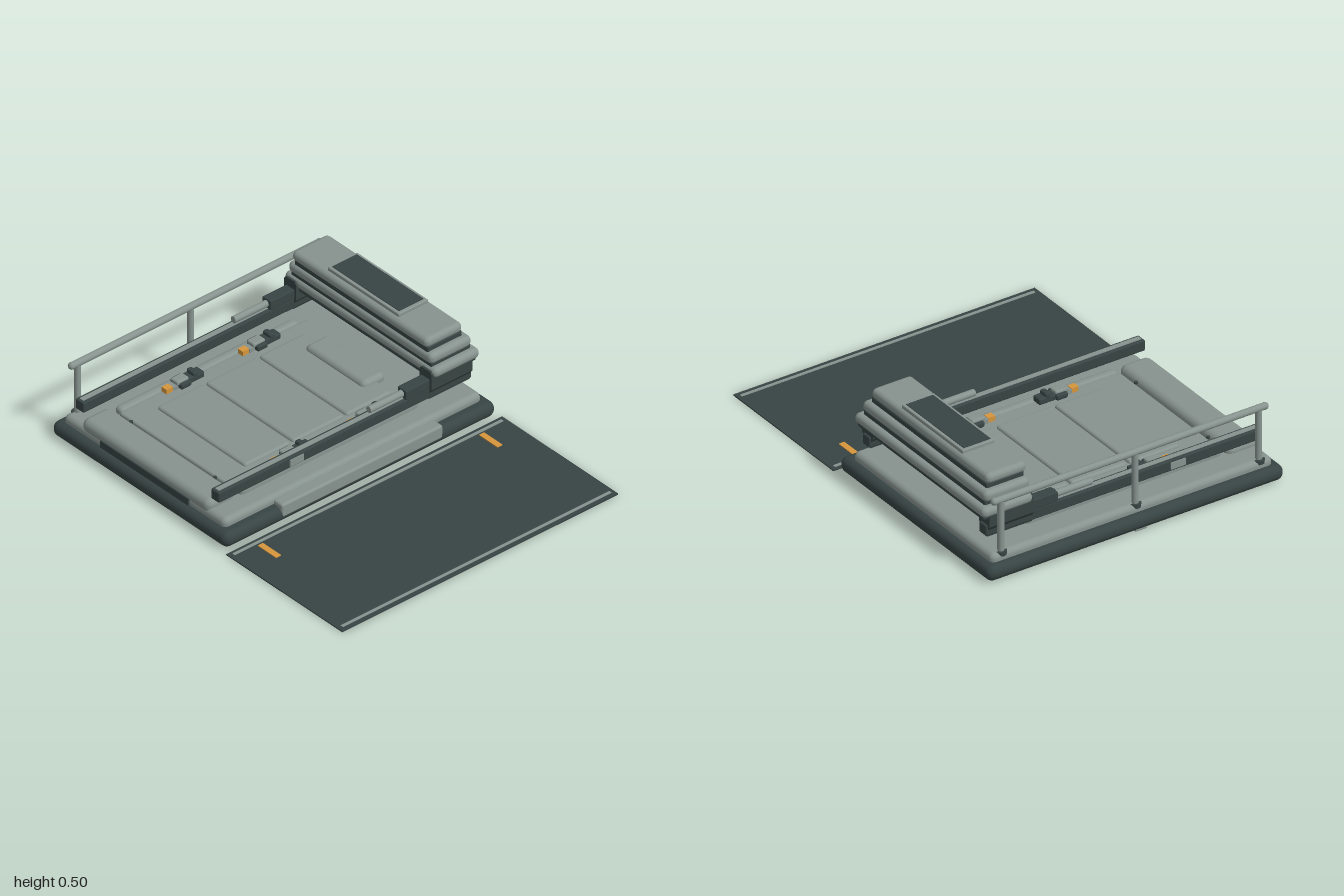
import * as THREE from 'three';
import { RoundedBoxGeometry } from 'three/addons/geometries/RoundedBoxGeometry.js';

const mat = (name, color) => {
  const m = new THREE.MeshStandardMaterial({ color });
  m.name = name;
  return m;
};

export function createModel() {
  const light = mat('light grey', 0x87938f);
  const dark = mat('dark slate', 0x374443);
  const orange = mat('amber', 0xd6963c);
  const root = new THREE.Group();
  root.name = 'slidingGantryBed';

  // Box given by its extents; r > 0 rounds the edges
  const block = (name, m, [x0, x1], [y0, y1], [z0, z1], r = 0, parent = root) => {
    const w = x1 - x0, h = y1 - y0, d = z1 - z0;
    const geo = r ? new RoundedBoxGeometry(w, h, d, 4, r) : new THREE.BoxGeometry(w, h, d);
    const mesh = new THREE.Mesh(geo, m);
    mesh.position.set((x0 + x1) / 2, (y0 + y1) / 2, (z0 + z1) / 2);
    mesh.name = name;
    parent.add(mesh);
    return mesh;
  };
  const cylinder = (name, m, r, h, x, y, z, sides = 20) => {
    const mesh = new THREE.Mesh(new THREE.CylinderGeometry(r, r, h, sides), m);
    mesh.position.set(x, y, z);
    mesh.name = name;
    root.add(mesh);
    return mesh;
  };

  // Base and deck
  block('base', dark, [-1, 0.195], [0.006, 0.084], [-0.8, 0.8], 0.037);
  block('deck', light, [-0.96, 0.14], [0.06, 0.124], [-0.76, 0.76], 0.028);
  block('sideStep', light, [0.13, 0.197], [0.035, 0.106], [-0.48, 0.47], 0.012);
  block('frontPanel', dark, [-0.7, -0.1], [0.08, 0.12], [0.74, 0.768]);
  block('undersidePlate', light, [-0.985, -0.93], [0.003, 0.01], [0, 0.06]);

  // Mattress with raised pads, pillow and bolsters
  block('mattress', light, [-0.78, 0], [0.1, 0.148], [-0.52, 0.585], 0.012);
  for (const [z0, z1] of [[-0.43, -0.16], [-0.145, 0.155], [0.17, 0.44]])
    block('pad', light, [-0.69, -0.09], [0.13, 0.162], [z0, z1], 0.014);
  block('pillow', light, [-0.595, -0.19], [0.13, 0.186], [-0.48, -0.345], 0.026);
  block('frontBolster', light, [-0.84, 0.03], [0.09, 0.166], [0.597, 0.762], 0.035);
  for (const x of [-0.8, 0.015])
    block('sideBolster', light, [x - 0.025, x + 0.025], [0.1, 0.156], [-0.475, 0.575], 0.02);
  for (const x of [-0.69, -0.12]) cylinder('screw', dark, 0.009, 0.01, x, 0.146, 0.592, 10);

  // Strap clamps
  for (const x of [-0.76, -0.023]) for (const z of [-0.22, 0.23]) {
    const clamp = new THREE.Group();
    clamp.name = 'strapClamp';
    clamp.position.set(x, 0.15, z);
    root.add(clamp);
    block('strap', dark, [-0.027, 0.027], [0, 0.032], [-0.11, -0.02], 0.008, clamp);
    block('strapLoop', dark, [-0.027, 0.027], [0.02, 0.05], [-0.075, -0.045], 0.01, clamp);
    block('clampBody', dark, [-0.041, 0.041], [0, 0.03], [-0.024, 0.038], 0.01, clamp);
    block('buckle', light, [-0.025, 0.025], [0.02, 0.042], [-0.02, 0.05], 0.008, clamp);
    block('tongue', light, [-0.019, 0.019], [0, 0.022], [0.03, 0.07], 0, clamp);
    block('releaseTab', orange, [-0.017, 0.017], [0, 0.024], [0.07, 0.108], 0, clamp);
  }

  // Slide rails and carriages on both sides
  for (const [x, side] of [[-0.863, -1], [0.058, 1]]) {
    block('slideRail', dark, [x - 0.028, x + 0.028], [0.184, 0.24], [-0.745, 0.747], 0.008);
    block('railTrack', light, [x - 0.013, x + 0.013], [0.236, 0.243], [-0.5, 0.735]);
    block('railLatch', light, [x + side * 0.03 - 0.004, x + side * 0.03 + 0.004], [0.196, 0.23], [0.25, 0.33]);
    block('sleeve', dark, [x - 0.029, x + 0.029], [0.236, 0.287], [-0.52, -0.355], 0.006);
    const rod = cylinder('pushRod', light, 0.017, 0.36, x, 0.263, -0.34);
    rod.rotation.x = Math.PI / 2;
    // Chamfered carriage block
    const s = new THREE.Shape();
    s.moveTo(-0.024, 0.18).lineTo(0.024, 0.18).lineTo(0.028, 0.215).lineTo(0.042, 0.235)
      .lineTo(0.042, 0.315).lineTo(0.03, 0.33).lineTo(-0.03, 0.33).lineTo(-0.042, 0.315)
      .lineTo(-0.042, 0.235).lineTo(-0.028, 0.215).closePath();
    const carriage = new THREE.Mesh(new THREE.ExtrudeGeometry(s, { depth: 0.24, bevelEnabled: false }), dark);
    carriage.position.set(x, 0, -0.735);
    carriage.name = 'carriage';
    root.add(carriage);
  }

  // Stacked gantry head
  block('gantryFloor', dark, [-0.9, 0.095], [0.275, 0.3], [-0.765, -0.51], 0.01);
  for (const [x0, x1, y0, y1, z0] of [
    [-0.917, 0.112, 0.291, 0.343, -0.775],
    [-0.892, 0.087, 0.354, 0.41, -0.748],
    [-0.866, 0.056, 0.427, 0.48, -0.72],
  ]) {
    block('gantryLayer', light, [x0, x1], [y0, y1], [z0, -0.503], 0.024);
    if (y1 < 0.45)
      block('gantryGap', dark, [x0 + 0.035, x1 - 0.035], [y1 - 0.015, y1 + 0.025], [z0 + 0.03, -0.515], 0.008);
  }
  block('displayFrame', light, [-0.646, -0.162], [0.47, 0.497], [-0.703, -0.528], 0.005);
  block('display', dark, [-0.632, -0.178], [0.493, 0.5], [-0.688, -0.543]);

  // Handrail on the right edge
  const rail = cylinder('handrail', light, 0.017, 1.46, -0.935, 0.385, 0);
  rail.rotation.x = Math.PI / 2;
  for (const z of [-0.73, 0.73]) {
    const cap = new THREE.Mesh(new THREE.SphereGeometry(0.018, 16, 12), light);
    cap.position.set(-0.935, 0.385, z);
    cap.name = 'handrailCap';
    root.add(cap);
  }
  for (const z of [-0.695, 0.03, 0.697]) {
    cylinder('handrailPost', light, 0.016, 0.3, -0.935, 0.235, z);
    cylinder('postFoot', dark, 0.028, 0.02, -0.935, 0.113, z);
  }

  // Floor mat with edge strips and markers
  block('floorMat', dark, [0.21, 1], [0, 0.006], [-0.815, 0.812]);
  for (const x of [0.235, 0.97])
    block('matStrip', light, [x - 0.008, x + 0.008], [0.005, 0.009], [-0.795, 0.79]);
  for (const z of [-0.655, 0.65])
    block('matMarker', orange, [0.255, 0.38], [0.005, 0.01], [z - 0.015, z + 0.015]);

  return root;
}
